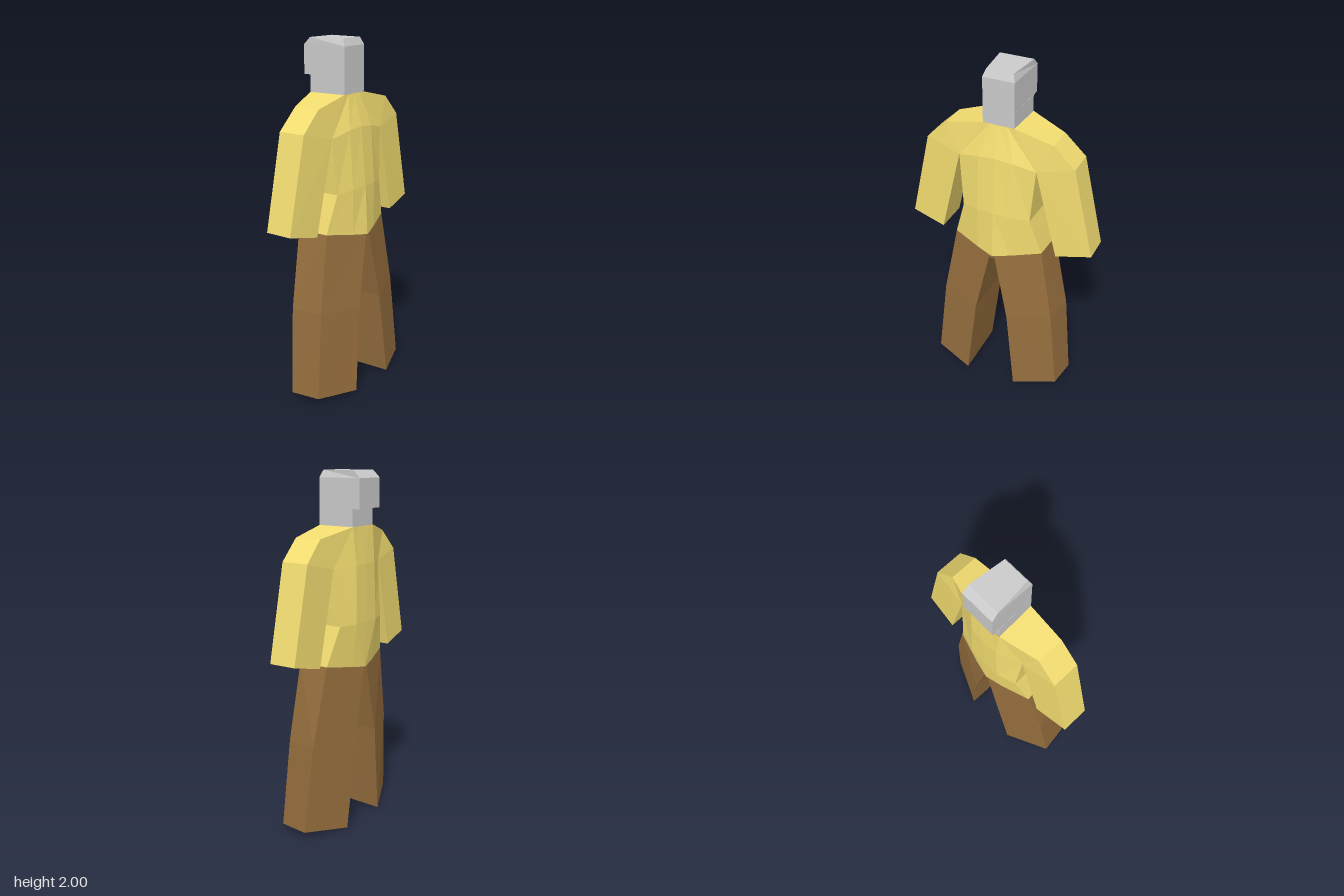
import * as THREE from 'three';

const shirt = new THREE.MeshStandardMaterial({ color: 0xf2dc70, flatShading: true });
const pants = new THREE.MeshStandardMaterial({ color: 0x946d3d, flatShading: true });
const grey = new THREE.MeshStandardMaterial({ color: 0xcccccc, flatShading: true });

// Joins rows of [x, y, z] points into faceted strips; side = -1 mirrors across x.
function loft(name, material, rows, { side = 1, closed = true, capStart = false, capEnd = false, skip = () => false } = {}) {
  const pos = [];
  const same = (p, q) => p.every((v, i) => v === q[i]);
  const tri = (a, b, c) => {
    if (same(a, b) || same(b, c) || same(a, c)) return;
    for (const p of side > 0 ? [a, b, c] : [a, c, b]) pos.push(p[0] * side, p[1], p[2]);
  };
  const n = rows[0].length;
  for (let i = 0; i < rows.length - 1; i++) {
    for (let j = 0; j < (closed ? n : n - 1); j++) {
      if (skip(i, j)) continue;
      const k = (j + 1) % n;
      const [a, b, c, d] = [rows[i][j], rows[i][k], rows[i + 1][k], rows[i + 1][j]];
      tri(a, d, c);
      tri(a, c, b);
    }
  }
  const first = rows[0], last = rows[rows.length - 1];
  for (let j = 1; j < n - 1; j++) {
    if (capStart) tri(first[0], first[j], first[j + 1]);
    if (capEnd) tri(last[0], last[j + 1], last[j]);
  }
  const geometry = new THREE.BufferGeometry();
  geometry.setAttribute('position', new THREE.Float32BufferAttribute(pos, 3));
  geometry.computeVertexNormals();
  const mesh = new THREE.Mesh(geometry, material);
  mesh.name = name;
  return mesh;
}

// Corners shared by torso, shoulder and hip
const neckF = [0.09, 1.705, 0.065], neckB = [0.1, 1.705, -0.16];
const pitF = [0.225, 1.49, 0.085], pitB = [0.225, 1.49, -0.12];
const hipF = [0.265, 0.965, 0.075], hipB = [0.275, 0.965, -0.11];

// Half torso rows run from front centre around the side to back centre
const torsoRows = [
  [[0, 1.705, 0.065], [0.05, 1.705, 0.065], neckF, neckB, [0.05, 1.705, -0.16], [0, 1.705, -0.16]],
  [[0, 1.53, 0.115], [0.1, 1.52, 0.11], pitF, pitB, [0.09, 1.5, -0.178], [0, 1.5, -0.182]],
  [[0, 1.2, 0.145], [0.1, 1.195, 0.133], [0.2, 1.18, 0.1], [0.207, 1.18, -0.15], [0.1, 1.18, -0.185], [0, 1.18, -0.187]],
  [[0, 0.92, 0.16], [0.1, 0.936, 0.132], hipF, hipB, [0.1, 0.936, -0.16], [0, 0.92, -0.18]],
];

// Arm sections: top front, top back, under back, under front
const armRows = [
  [neckF, neckB, pitB, pitF],
  [[0.31, 1.655, 0.062], [0.31, 1.655, -0.095], pitB, pitF],
  [[0.43, 1.54, 0.06], [0.43, 1.54, -0.1], pitB, pitF],
  [[0.55, 1.02, 0.058], [0.55, 1.02, -0.1], [0.35, 0.975, -0.118], [0.35, 0.975, 0.078]],
];

// Leg sections: inner front, outer front, outer back, inner back
const legRows = [
  [[0.015, 0.92, 0.16], hipF, hipB, [0.015, 0.92, -0.18]],
  [[0.1, 0.52, 0.18], [0.345, 0.53, 0.095], [0.372, 0.53, -0.085], [0.1, 0.52, -0.187]],
  [[0.155, 0.02, 0.2], [0.397, 0.04, 0.112], [0.422, 0.04, -0.058], [0.165, 0, -0.172]],
];

// Head section: a trapezoid, narrower at the front
const headRow = (y, xf, zf, xb, zb) => [[-xf, y, zf], [xf, y, zf], [xb, y, zb], [-xb, y, zb]];

export function createModel() {
  const model = new THREE.Group();
  model.name = 'figure';

  // Head with chamfered top and a step at the back of the neck
  model.add(loft('head', grey, [
    headRow(2.0, 0.076, 0.048, 0.097, -0.16),
    headRow(1.96, 0.09, 0.065, 0.1, -0.2),
    headRow(1.8, 0.09, 0.065, 0.1, -0.2),
    headRow(1.8, 0.09, 0.065, 0.1, -0.157),
    headRow(1.7, 0.09, 0.065, 0.1, -0.157),
  ], { capStart: true, capEnd: true }));

  for (const side of [1, -1]) {
    const label = side > 0 ? 'left' : 'right';
    // The panel beside the neck stays open where the shoulder joins
    model.add(loft(label + 'Torso', shirt, torsoRows, { side, closed: false, skip: (i, j) => i === 0 && j === 2 }));
    model.add(loft(label + 'Arm', shirt, armRows, { side, capEnd: true }));
    model.add(loft(label + 'Leg', pants, legRows, { side, capStart: true, capEnd: true }));
  }

  // Small bridge between the legs
  const crotch = new THREE.Mesh(new THREE.BoxGeometry(0.036, 0.02, 0.33), pants);
  crotch.name = 'crotch';
  crotch.position.set(0, 0.915, -0.01);
  model.add(crotch);

  return model;
}
